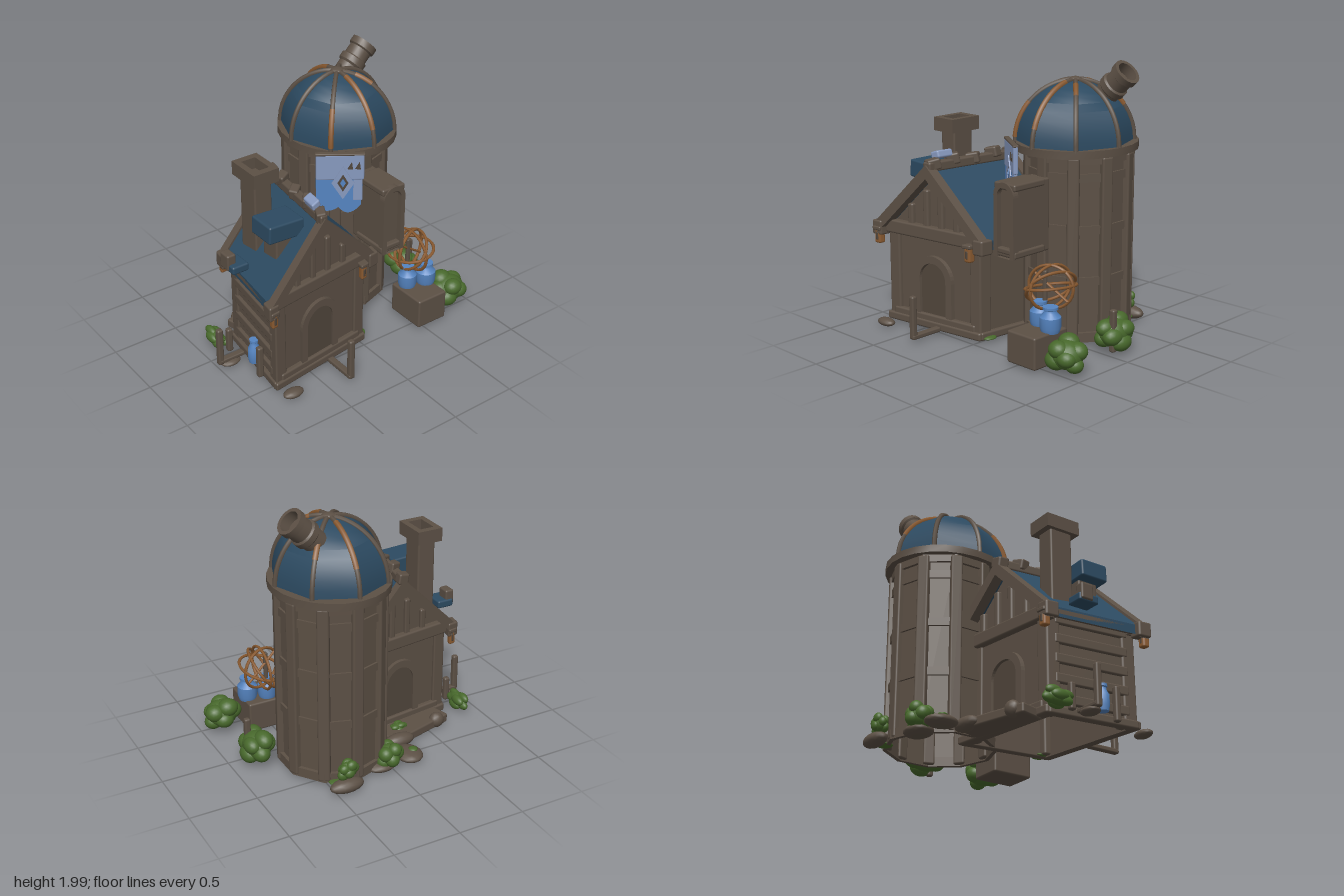
import * as THREE from 'three';
import { toCreasedNormals } from 'three/addons/utils/BufferGeometryUtils.js';
import { RoundedBoxGeometry } from 'three/addons/geometries/RoundedBoxGeometry.js';

const mat = (name, color) => Object.assign(new THREE.MeshStandardMaterial({ color }), { name });
const M = {
  timber: mat('weathered timber', 0x5c5045),
  recess: mat('shadowed timber', 0x51463c),
  slate: mat('blue slate', 0x2c4a61),
  jar: mat('bright blue', 0x5584c0),
  pale: mat('pale blue cloth', 0x8799be),
  leaf: mat('leaf green', 0x48692c),
  copper: mat('copper', 0x8a5a30),
};
M.timber.side = M.pale.side = M.jar.side = THREE.DoubleSide;

let seed = 7;
const rnd = () => (seed = (seed * 16807) % 2147483647) / 2147483647;

function add(parent, name, geo, material, pos = [0, 0, 0], rot = [0, 0, 0]) {
  const m = new THREE.Mesh(geo, material);
  m.name = name;
  m.position.set(...pos);
  m.rotation.set(...rot);
  parent.add(m);
  return m;
}
const beam = (w, h, d) => new RoundedBoxGeometry(w, h, d, 2, Math.min(0.014, Math.min(w, h, d) * 0.3));
const group = (parent, name) => {
  const g = new THREE.Group();
  g.name = name;
  parent.add(g);
  return g;
};
const points = pts => pts.map(p => new THREE.Vector2(...p));
const poly = pts => new THREE.Shape(points(pts));
const extrude = (shape, depth) => new THREE.ExtrudeGeometry(shape, { depth, bevelEnabled: false, curveSegments: 10 });

// Arch outline standing on y = 0
function archPath(w, h, Type = THREE.Shape) {
  const p = new Type(), r = w / 2;
  p.moveTo(-r, 0);
  p.lineTo(r, 0);
  p.lineTo(r, h - r);
  p.absarc(0, h - r, r, 0, Math.PI, false);
  p.lineTo(-r, 0);
  return p;
}
function archFrame(w, h, t, depth) {
  const s = archPath(w, h);
  s.holes.push(archPath(w - 2 * t, h - t, THREE.Path));
  return extrude(s, depth);
}
const chevron = (half, apex, eave, t) =>
  poly([[-half, eave], [-half, eave - t], [0, apex - t], [half, eave - t], [half, eave], [0, apex]]);

function buildHouse(root) {
  const g = group(root, 'house');
  const gable = poly([[-0.42, 0.02], [0.42, 0.02], [0.42, 0.77], [0, 1.16], [-0.42, 0.77]]);
  add(g, 'roof', extrude(chevron(0.49, 1.23, 0.76, 0.07), 0.7), M.slate, [0, 0, -0.36]);
  for (const s of [-1, 1]) {
    const v = s * 0.32;
    // hollow walls, open underneath
    add(g, 'gableWall', extrude(gable, 0.03), M.timber, [0, 0, s * 0.3 - 0.015]);
    add(g, 'sideWall', beam(0.03, 0.76, 0.6), M.timber, [s * 0.405, 0.4, 0]);
    add(g, 'footing', beam(0.9, 0.06, 0.06), M.timber, [0, 0.05, s * 0.33]);
    add(g, 'footing', beam(0.06, 0.06, 0.68), M.timber, [s * 0.425, 0.05, 0]);
    // gable trim
    add(g, 'bargeboard', extrude(chevron(0.51, 1.25, 0.765, 0.1), 0.07), M.timber, [0, 0, s * 0.365 - 0.035]);
    add(g, 'tieBeam', beam(0.9, 0.1, 0.09), M.timber, [0, 0.74, v]);
    for (const u of [-0.22, -0.07, 0.07, 0.22])
      add(g, 'gableStud', beam(0.05, 0.34 - Math.abs(u) * 0.8, 0.05), M.timber, [u, 0.94 - Math.abs(u) * 0.4, v]);
    // arched door
    add(g, 'doorFrame', archFrame(0.36, 0.53, 0.055, 0.05), M.timber, [-0.01, 0.04, v - 0.025]);
    add(g, 'door', extrude(archPath(0.25, 0.47), 0.012), M.recess, [-0.01, 0.04, v - 0.006]);
    add(g, 'sill', beam(0.78, 0.07, 0.06), M.timber, [0, 0.09, v]);
    for (const e of [-1, 1]) {
      add(g, 'cornerPost', beam(0.1, 0.72, 0.1), M.timber, [e * 0.39, 0.39, s * 0.29]);
      add(g, 'eaveEnd', beam(0.09, 0.11, 0.1), M.timber, [e * 0.485, 0.725, s * 0.36]);
      // lanterns under the eaves
      const u = e < 0 ? -0.48 : 0.39;
      add(g, 'lantern', beam(0.055, 0.11, 0.05), M.copper, [u, 0.66, s * 0.385]);
      add(g, 'lanternCap', beam(0.075, 0.03, 0.07), M.timber, [u, 0.72, s * 0.385]);
      add(g, 'lanternPane', beam(0.025, 0.06, 0.054), M.recess, [u, 0.66, s * 0.386]);
    }
  }
  for (let i = 0; i < 5; i++)
    add(g, 'sidePlank', beam(0.04, 0.07, 0.56), M.timber, [-0.425, 0.14 + i * 0.14, 0]);
  for (const e of [-1, 1]) add(g, 'eaveBeam', beam(0.05, 0.06, 0.7), M.timber, [e * 0.465, 0.73, 0]);
  // ridge with uneven caps
  add(g, 'ridgeBeam', beam(0.07, 0.07, 0.78), M.timber, [0, 1.235, 0]);
  [-0.36, -0.2, -0.02, 0.16, 0.33].forEach((v, i) =>
    add(g, 'ridgeCap', beam(0.09, 0.08, 0.08), M.timber, [0, 1.25 + (i % 2) * 0.02, v], [0, i * 0.3, 0.2]));
  add(g, 'ridgeOrnament', beam(0.075, 0.055, 0.13), M.pale, [-0.015, 1.31, 0.24], [0, 0, 0.3]);

  // skew the whole house slightly out of square
  const skew = new THREE.Matrix4().set(0.96, 0, -0.12, -0.355, 0, 1, 0, 0, -0.13, 0, 1, 0.17, 0, 0, 0, 1);
  for (const m of g.children) {
    m.updateMatrix();
    m.geometry.applyMatrix4(m.matrix).applyMatrix4(skew);
    m.position.set(0, 0, 0);
    m.rotation.set(0, 0, 0);
  }

  // chimney, roof slab and bracket
  const cap = poly([[-0.1, -0.135], [0.1, -0.135], [0.1, 0.135], [-0.1, 0.135]]);
  cap.holes.push(poly([[-0.055, -0.085], [-0.055, 0.085], [0.055, 0.085], [0.055, -0.085]]));
  add(root, 'chimneyShaft', beam(0.14, 0.62, 0.18), M.timber, [-0.615, 1.12, 0.065]);
  add(root, 'chimneyCap', extrude(cap, 0.1), M.timber, [-0.615, 1.41, 0.065], [-Math.PI / 2, 0, 0]);
  add(root, 'roofSlab', beam(0.28, 0.13, 0.22), M.slate, [-0.605, 1.15, 0.305], [0, 0, -0.05]);
  add(root, 'slabSupport', beam(0.2, 0.24, 0.16), M.timber, [-0.57, 1.0, 0.3]);
  add(root, 'eaveBracket', beam(0.07, 0.12, 0.1), M.timber, [-0.88, 0.87, 0.1]);
  add(root, 'eaveSlate', beam(0.13, 0.06, 0.16), M.slate, [-0.84, 0.83, 0.12]);
}

function buildTower(root) {
  const g = group(root, 'tower');
  g.position.set(0.3, 0, -0.27);
  // open shell with hoops around it
  const shell = new THREE.CylinderGeometry(0.368, 0.368, 1.35, 10, 1, true).scale(1, 1, 1.02);
  add(g, 'towerWall', toCreasedNormals(shell, 0.5), M.timber, [0, 0.705, 0]);
  const hoop = (name, r, y0, y1) => {
    const ring = points([[r - 0.03, y0], [r, y0], [r, y1], [r - 0.03, y1], [r - 0.03, y0]]);
    add(g, name, toCreasedNormals(new THREE.LatheGeometry(ring, 10).scale(1, 1, 1.02), 0.5), M.timber);
  };
  hoop('towerBase', 0.395, 0.03, 0.1);
  for (const y of [0.475, 0.845, 1.215]) hoop('towerBand', 0.383, y - 0.03, y + 0.03);
  hoop('topBand', 0.39, 1.31, 1.37);
  const cornice = new THREE.CylinderGeometry(0.418, 0.418, 0.055, 24).scale(1, 1, 1.11);
  add(g, 'corniceRing', toCreasedNormals(cornice, 0.5), M.timber, [0, 1.3925, 0.025]);
  for (let i = 0; i < 10; i++) {
    const a = i * Math.PI / 5;
    add(g, 'pilaster', beam(0.085, 1.32, 0.06), M.timber,
      [Math.sin(a) * 0.367, 0.7, Math.cos(a) * 0.37], [0, a, 0]);
  }
  // ribbed dome
  const d = group(g, 'domeRoof');
  d.position.set(-0.008, 0, 0.04);
  const prof = [];
  for (let i = 0; i <= 10; i++) {
    const t = i / 10 * Math.PI / 2;
    prof.push(new THREE.Vector2(0.402 * Math.cos(t) + 1e-5, 1.41 + 0.435 * Math.sin(t)));
  }
  add(d, 'dome', toCreasedNormals(new THREE.LatheGeometry(prof, 8).scale(1, 1, 1.08), 0.6), M.slate);
  const rib = (a, from, to, r) => {
    const pts = [];
    for (let i = 0; i <= 8; i++) {
      const t = (from + (to - from) * i / 8) * Math.PI / 2, c = 0.405 * Math.cos(t);
      pts.push(new THREE.Vector3(Math.sin(a) * c, 1.41 + 0.438 * Math.sin(t), Math.cos(a) * c * 1.08));
    }
    return new THREE.TubeGeometry(new THREE.CatmullRomCurve3(pts), 16, r, 6);
  };
  // worn copper stretches: rib index, start, end
  const worn = [[0, 0.2, 0.85], [7, 0.05, 0.45], [4, 0.3, 0.85], [3, 0.4, 0.7], [1, 0.6, 0.8]];
  for (let i = 0; i < 8; i++) add(d, 'domeRib', rib(i * Math.PI / 4, 0, 1, 0.018), M.timber);
  for (const [i, from, to] of worn) add(d, 'copperRibInlay', rib(i * Math.PI / 4, from, to, 0.0205), M.copper);
  add(d, 'domeKnob', new THREE.SphereGeometry(0.05, 12, 8).scale(1, 0.4, 1), M.timber, [0, 1.85, 0]);

  // hollow telescope
  const tube = points([[0.085, 0], [0.085, 0.26], [0.1, 0.275], [0.1, 0.32], [0.086, 0.33], [0.086, 0.4], [0.1, 0.41],
    [0.1, 0.46], [0.074, 0.46], [0.07, 0.38], [0.0001, 0.38]]);
  add(g, 'telescope', toCreasedNormals(new THREE.LatheGeometry(tube, 20), 0.6), M.timber,
    [0.015, 1.605, -0.08], [-0.05, 0, -0.81]);

  // hanging arched niche
  const n = group(root, 'niche');
  add(n, 'nicheBody', beam(0.17, 0.52, 0.33), M.timber, [0.275, 0.95, 0.265]);
  add(n, 'nicheFrame', archFrame(0.19, 0.53, 0.035, 0.05), M.timber, [0.275, 0.69, 0.42]);
  add(n, 'nicheSill', beam(0.13, 0.04, 0.06), M.timber, [0.275, 0.74, 0.44]);
  for (const y of [0.72, 1.19]) add(n, 'nicheSideRail', beam(0.2, 0.05, 0.3), M.timber, [0.275, y, 0.31]);

  // banner
  const b = group(root, 'banner');
  b.position.set(0.035, 0, 0.15);
  b.rotation.y = -0.6;
  const cloth = new THREE.Shape();
  cloth.moveTo(-0.17, 1.24);
  cloth.lineTo(-0.17, 1.0);
  cloth.quadraticCurveTo(-0.09, 0.94, -0.01, 1.0);
  cloth.quadraticCurveTo(0.06, 0.9, 0.15, 1.02);
  cloth.lineTo(0.16, 1.24);
  add(b, 'bannerCloth', extrude(cloth, 0.025), M.jar, [0, 0, -0.012]);
  add(b, 'bannerHead', beam(0.34, 0.2, 0.035), M.pale, [0, 1.32, 0]);
  add(b, 'bannerEdge', beam(0.07, 0.2, 0.03), M.pale, [0.125, 1.15, 0]);
  add(b, 'bannerRail', beam(0.35, 0.015, 0.04), M.timber, [0, 1.42, 0]);
  const diamond = poly([[0, -0.13], [0.08, 0], [0, 0.13], [-0.08, 0]]);
  diamond.holes.push(poly([[0, -0.07], [-0.04, 0], [0, 0.07], [0.04, 0]]));
  add(b, 'diamondTrim', extrude(diamond, 0.008), M.pale, [0.02, 1.2, 0.018]);
  add(b, 'diamondBacking', extrude(poly([[0, -0.09], [0.055, 0], [0, 0.09], [-0.055, 0]]), 0.006), M.recess, [0.02, 1.2, 0.016]);
  add(b, 'diamondHeart', extrude(poly([[0, -0.035], [0.02, 0], [0, 0.035], [-0.02, 0]]), 0.008), M.jar, [0.02, 1.2, 0.018]);
  for (const x of [0.07, 0.125])
    add(b, 'bannerNotch', extrude(poly([[-0.02, -0.025], [0.02, -0.03], [0.012, 0.03]]), 0.006), M.recess, [x, 1.335, 0.016]);
}

function jar(parent, x, y, z, r, h) {
  const p = [[0.0001, 0], [0.85, 0], [1, 0.2], [1, 0.6], [0.6, 0.78], [0.55, 0.86], [0.72, 0.9], [0.72, 1], [0.0001, 1]];
  const geo = new THREE.LatheGeometry(points(p), 16).scale(r, h, r);
  add(parent, 'jar', toCreasedNormals(geo, 0.7), M.jar, [x, y, z]);
}

function buildYard(root) {
  // plinth with jars and ring globe
  add(root, 'plinth', beam(0.26, 0.23, 0.32), M.timber, [0.565, 0.135, 0.44]);
  jar(root, 0.515, 0.24, 0.36, 0.07, 0.18);
  jar(root, 0.655, 0.24, 0.405, 0.074, 0.18);
  add(root, 'globePost', beam(0.03, 0.42, 0.03), M.timber, [0.535, 0.42, 0.33]);
  const globe = group(root, 'ringGlobe');
  globe.position.set(0.575, 0.52, 0.315);
  globe.scale.set(1, 0.95, 1.2);
  for (const r of [[0, 0.3, 0], [0.2, 1.5, 0], [1.45, 0.2, 0], [1.1, 0.9, 0]])
    add(globe, 'globeRing', new THREE.TorusGeometry(0.16, 0.011, 6, 36), M.copper, [0, 0, 0], r);
  add(globe, 'globeAxis', new THREE.CylinderGeometry(0.009, 0.009, 0.32, 8), M.copper, [0, 0, 0], [0.3, 0, 0.9]);

  // posts and rails
  const posts = [[-0.33, 0.77, 0.35], [-0.98, 0.1, 0.33], [-0.83, 0.38, 0.28], [0.85, -0.02, 0.34], [-0.84, 0.0, 0.22]];
  for (const [x, z, h] of posts) add(root, 'post', beam(0.045, h - 0.03, 0.045), M.timber, [x, h / 2 + 0.015, z]);
  add(root, 'frontRail', beam(0.05, 0.035, 0.26), M.timber, [-0.33, 0.045, 0.66]);
  add(root, 'sideRail', beam(0.2, 0.03, 0.05), M.timber, [-0.89, 0.055, 0.1]);
  jar(root, -0.81, 0.09, 0.28, 0.045, 0.19);

  // back porch and stones: x, z, rx, rz, height
  add(root, 'porch', beam(0.56, 0.07, 0.2), M.timber, [-0.39, 0.045, -0.25], [0, 0.27, 0]);
  const stones = [[-0.17, -0.56, 0.1, 0.12, 0.04], [0.42, -0.72, 0.13, 0.065, 0.05], [-0.75, 0.67, 0.08, 0.05, 0.03],
    [-0.9, 0.1, 0.08, 0.06, 0.025], [-0.58, -0.28, 0.06, 0.05, 0.06], [-0.2, -0.38, 0.12, 0.06, 0.05],
    [0.08, -0.58, 0.12, 0.1, 0.04]];
  for (const [x, z, rx, rz, h] of stones)
    add(root, 'stone', new THREE.IcosahedronGeometry(1, 2).scale(rx, h, rz), M.timber, [x, h, z]);
  // low moss patches
  for (const [x, y, z, r] of [[-0.2, 0.075, -0.57, 0.035], [0.03, 0.035, 0.38, 0.06], [0.45, 0.04, -0.63, 0.06]])
    add(root, 'moss', new THREE.IcosahedronGeometry(1, 2).scale(r, 0.015, r), M.leaf, [x, y, z]);

  // bushes: x, y, z, rx, ry, rz
  const bushes = [[0.85, 0.145, 0.455, 0.145, 0.125, 0.135], [0.81, 0.15, -0.085, 0.125, 0.125, 0.16],
    [-0.87, 0.08, -0.13, 0.06, 0.07, 0.12], [0.02, 0.12, -0.61, 0.1, 0.1, 0.1],
    [0.4, 0.16, -0.7, 0.08, 0.075, 0.06], [-0.26, 0.08, -0.26, 0.07, 0.04, 0.05]];
  for (const [x, y, z, rx, ry, rz] of bushes) {
    const b = group(root, 'bush');
    b.position.set(x, y, z);
    b.scale.set(rx, ry, rz);
    add(b, 'leafCore', new THREE.IcosahedronGeometry(0.82, 3), M.leaf);
    for (let i = 0; i < 8; i++) {
      const a = i * 2.4, h = -0.45 + i / 7 * 0.95, r = Math.sqrt(1 - h * h) * 0.52;
      add(b, 'leafClump', new THREE.IcosahedronGeometry(0.46 + rnd() * 0.1, 3), M.leaf,
        [Math.cos(a) * r, h, Math.sin(a) * r]);
    }
  }
}

export function createModel() {
  const root = new THREE.Group();
  root.name = 'observatoryHouse';
  buildHouse(root);
  buildTower(root);
  buildYard(root);
  return root;
}
